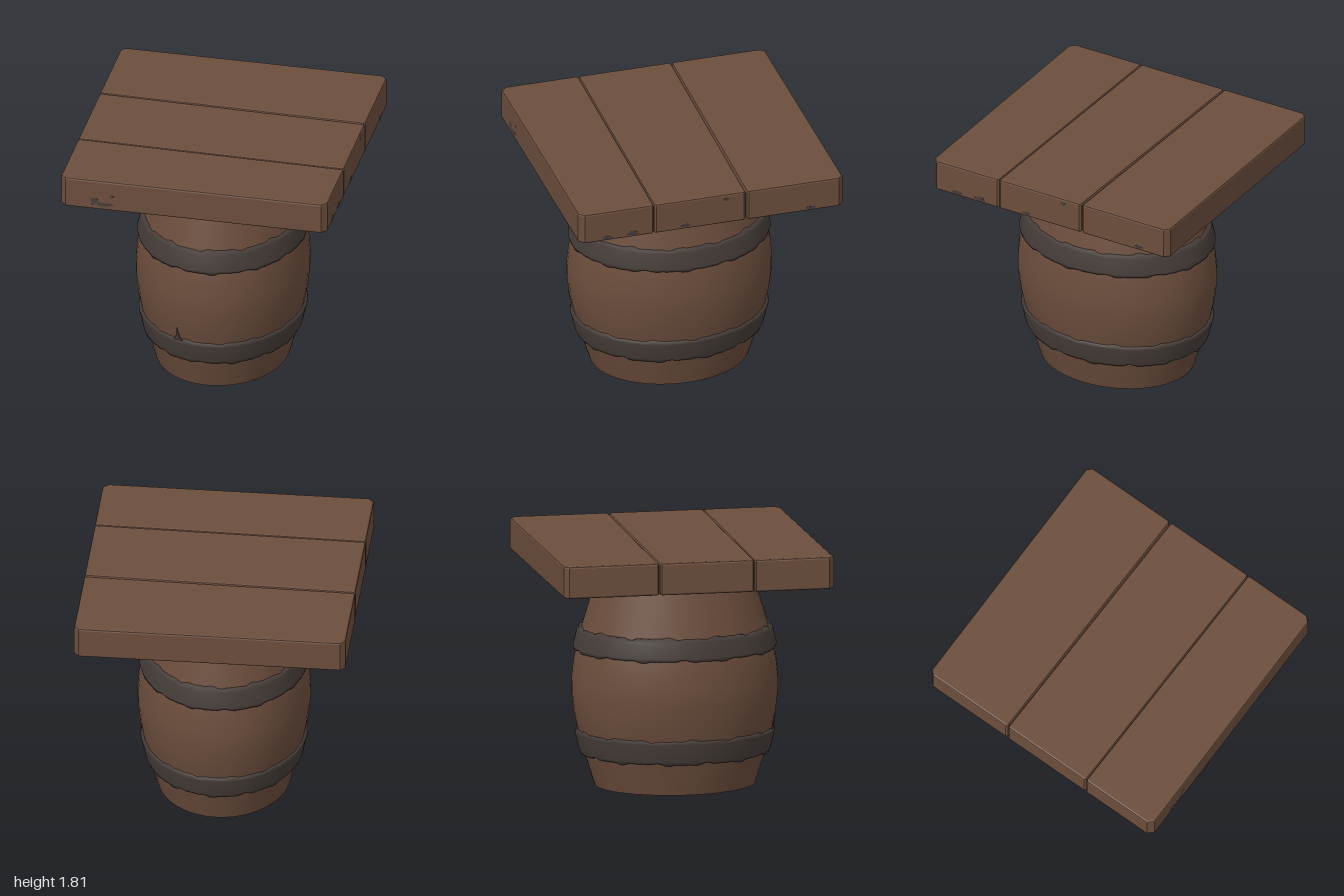
import * as THREE from 'three';

const wood = new THREE.MeshStandardMaterial({ color: 0x6b4d3c });
wood.name = 'brown wood';
const iron = new THREE.MeshStandardMaterial({ color: 0x453c38 });
iron.name = 'dark iron';

const DEPTH = 1.205; // the barrel is an oval, deeper than wide
const CENTRE_Z = 0.02;

function addMesh(parent, name, geometry, material) {
  const mesh = new THREE.Mesh(geometry, material);
  mesh.name = name;
  parent.add(mesh);
  return mesh;
}

// Turned oval body from [radius, height] points
function turned(points, segments) {
  const profile = points.map(([r, y]) => new THREE.Vector2(r, y));
  return new THREE.LatheGeometry(profile, segments);
}

// Periodic wobble for worn hoop edges
function ragged(angle, seed) {
  return 0.005 * (Math.sin(angle * 9 + seed) + Math.sin(angle * 23 + seed * 2) + 0.7 * Math.sin(angle * 37 + seed * 3));
}

// Iron hoop: the outermost rows on each edge are uneven
function hoop(points, seed) {
  const geo = turned(points, 120).toNonIndexed();
  const pos = geo.attributes.position;
  const low = points[0][1], high = points[points.length - 1][1];
  for (let i = 0; i < pos.count; i++) {
    const y = pos.getY(i);
    const angle = Math.atan2(pos.getX(i), pos.getZ(i));
    if (y < low + 0.012) pos.setY(i, y + ragged(angle, seed));
    else if (y > high - 0.012) pos.setY(i, y + ragged(angle, seed + 2));
  }
  return geo;
}

// Plank with bevelled edges; z0 and z1 are [left end, right end] of its long edges
function plank(z0, z1, cutBack, cutFront) {
  const x = 0.985, bevel = 0.014, low = 1.575, high = 1.81;
  const shape = new THREE.Shape([
    [-x, -z1[0] + cutFront], [-x + cutFront, -z1[0]],
    [x - cutFront, -z1[1]], [x, -z1[1] + cutFront],
    [x, -z0[1] - cutBack], [x - cutBack, -z0[1]],
    [-x + cutBack, -z0[0]], [-x, -z0[0] - cutBack],
  ].map(([px, py]) => new THREE.Vector2(px, py)));
  const geo = new THREE.ExtrudeGeometry(shape, {
    depth: high - low - 2 * bevel, bevelThickness: bevel, bevelSize: bevel, bevelOffset: -bevel, bevelSegments: 2,
  });
  return geo.rotateX(-Math.PI / 2).translate(0, low + bevel, 0);
}

// Small irregular dark knot, a thin plate facing +z
function knot(width, height, seed) {
  const pts = [];
  for (let i = 0; i < 10; i++) {
    const a = (i / 10) * Math.PI * 2;
    const r = 1 + 0.2 * Math.sin(a * 3 + seed);
    pts.push(new THREE.Vector2(Math.cos(a) * r * width / 2, Math.sin(a) * r * height / 2));
  }
  return new THREE.ExtrudeGeometry(new THREE.Shape(pts), { depth: 0.004, bevelEnabled: false });
}

export function createModel() {
  const model = new THREE.Group();
  model.name = 'barrelTable';

  // Barrel
  const barrel = new THREE.Group();
  barrel.name = 'barrel';
  barrel.scale.z = DEPTH;
  barrel.position.z = CENTRE_Z;
  model.add(barrel);
  addMesh(barrel, 'staves', turned([
    [0.485, 0], [0.545, 0.23], [0.585, 0.4], [0.61, 0.54], [0.624, 0.68], [0.624, 0.78],
    [0.614, 0.9], [0.597, 1.01], [0.562, 1.17], [0.51, 1.38], [0.455, 1.6],
  ], 48), wood);
  addMesh(barrel, 'barrelBottom', new THREE.CircleGeometry(0.485, 48).rotateX(Math.PI / 2), wood);

  // Hoops
  addMesh(barrel, 'lowerHoop', hoop([
    [0.53, 0.235], [0.568, 0.238], [0.577, 0.26], [0.604, 0.39], [0.596, 0.412], [0.57, 0.415],
  ], 1), iron);
  addMesh(barrel, 'upperHoop', hoop([
    [0.58, 1.0], [0.61, 1.003], [0.615, 1.025], [0.592, 1.14], [0.581, 1.162], [0.55, 1.165],
  ], 4), iron);

  // Worn spike rising from the lower hoop
  const spike = new THREE.Shape([[-0.045, 0], [0.05, 0], [0.015, 0.04], [0.002, 0.12], [-0.015, 0.04]]
    .map(([x, y]) => new THREE.Vector2(x, y)));
  const scar = addMesh(barrel, 'hoopSpike', new THREE.ExtrudeGeometry(spike, { depth: 0.005, bevelEnabled: false }), iron);
  const scarAngle = -0.305;
  scar.position.set(Math.sin(scarAngle) * 0.59, 0.4, Math.cos(scarAngle) * 0.59);
  scar.rotation.order = 'YXZ';
  scar.rotation.set(0.17, scarAngle, 0);

  // Tabletop
  const top = new THREE.Group();
  top.name = 'tabletop';
  model.add(top);
  addMesh(top, 'backPlank', plank([-0.99, -1.0], [-0.292, -0.274], 0.035, 0.012), wood);
  addMesh(top, 'middlePlank', plank([-0.285, -0.262], [0.408, 0.425], 0.012, 0.012), wood);
  addMesh(top, 'frontPlank', plank([0.412, 0.429], [1.0, 0.99], 0.012, 0.04), wood);

  // Knots on the front edge: x, y, width, height
  [[-0.75, 1.64, 0.09, 0.06], [-0.66, 1.62, 0.13, 0.03], [-0.605, 1.69, 0.03, 0.03]].forEach(([x, y, w, h], i) => {
    addMesh(top, 'frontKnot', knot(w, h, i), iron).position.set(x, y, 0.995);
  });
  // Knots on the right-hand view edge: z, y, width, height
  [[0.78, 1.6, 0.08, 0.03], [0.59, 1.605, 0.09, 0.035], [0.19, 1.603, 0.08, 0.025],
    [-0.12, 1.77, 0.04, 0.025], [-0.75, 1.6, 0.08, 0.025]].forEach(([z, y, w, h], i) => {
    const mesh = addMesh(top, 'sideKnot', knot(w, h, i + 3), iron);
    mesh.rotation.y = Math.PI / 2;
    mesh.position.set(0.982, y, z);
  });
  return model;
}
